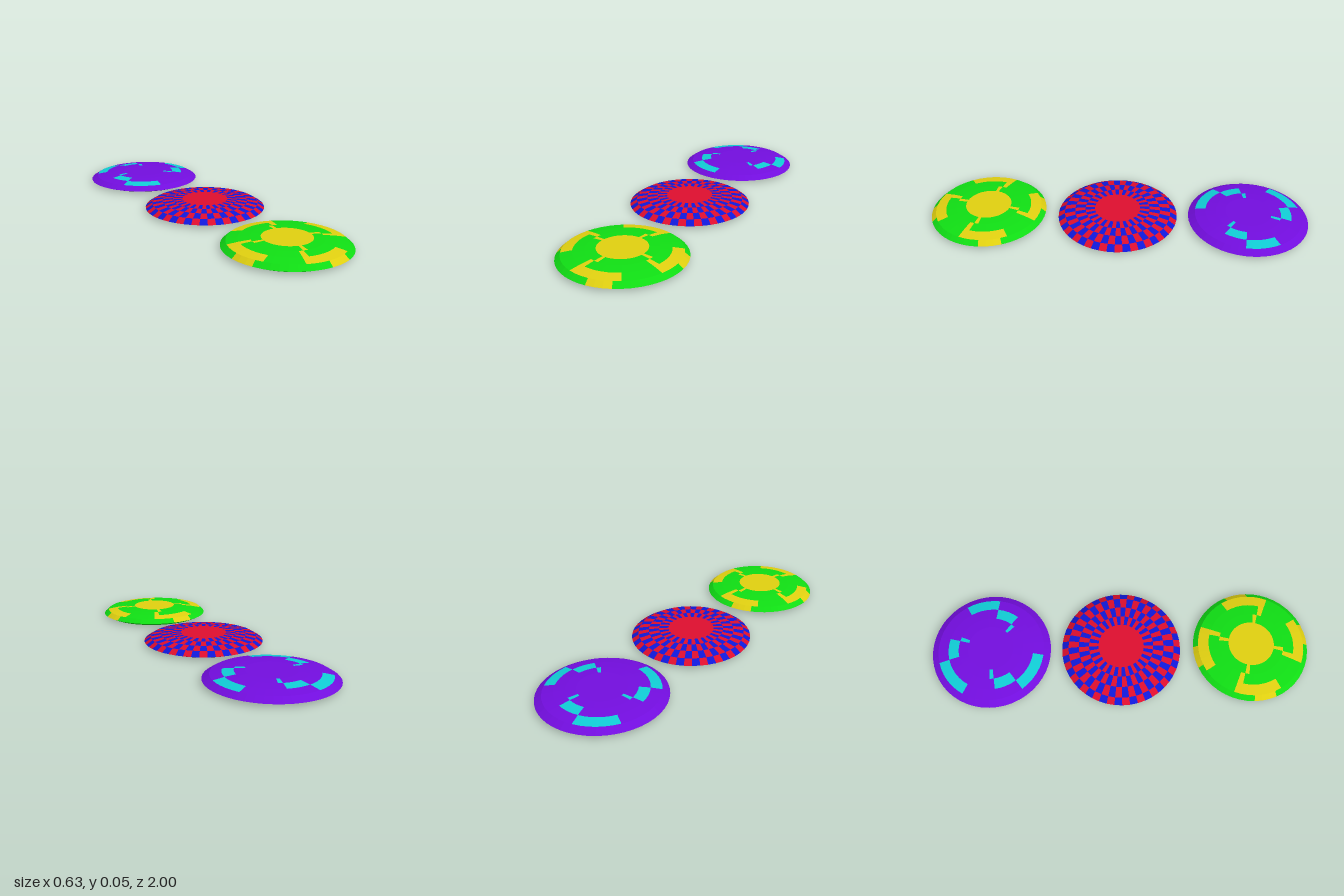
import * as THREE from 'three';

const SEGMENTS = 48;
const STEP = 360 / SEGMENTS; // 7.5 degrees per panel

// Half section [radius, height]: crown centre, over the top, round the rim, under to the floor
const section = (rim, lip) => [
  [0, 0.055], [0.12, 0.055], [0.17, 0.052], [0.225, 0.046], [0.28, 0.036],
  [rim, 0.014], [0.275, 0], [lip, 0], [lip - 0.006, 0.035], [0, 0.035],
];
// Bands between section points
const CENTRE = 0, INNER = 1, MIDDLE = 2, OUTER = 3, RIM = 4, UNDER_RIM = 5, LIP = 6;

// Point on the disc; the angle runs clockwise from the back, seen from above
function pointAt([r, y], seg) {
  const a = THREE.MathUtils.degToRad(seg * STEP);
  return [r * Math.sin(a), y, -r * Math.cos(a)];
}

// True if the panel centre lies in one of the [band, from, to] arcs (degrees)
function inArcs(arcs, band, seg) {
  const mid = (seg + 0.5) * STEP;
  return arcs.some(([b, from, to]) => b === band &&
    [mid - 360, mid, mid + 360].some((m) => m > from && m < to));
}

// A disc made of flat panels, sorted into a base colour and a pattern colour
function makeDisc(name, z, profile, baseColor, patternColor, isPattern) {
  const panels = [[], []];
  for (let band = 0; band < profile.length - 1; band++) {
    const p = profile[band], q = profile[band + 1];
    for (let s = 0; s < SEGMENTS; s++) {
      const out = panels[isPattern(band, s) ? 1 : 0];
      const a = pointAt(p, s), b = pointAt(p, s + 1);
      const c = pointAt(q, s + 1), d = pointAt(q, s);
      if (p[0] > 0) out.push(...a, ...b, ...c);
      if (q[0] > 0) out.push(...a, ...c, ...d);
    }
  }
  const disc = new THREE.Group();
  disc.name = name;
  disc.position.z = z;
  [baseColor, patternColor].forEach((color, i) => {
    const geometry = new THREE.BufferGeometry();
    geometry.setAttribute('position', new THREE.Float32BufferAttribute(panels[i], 3));
    geometry.computeVertexNormals();
    const mesh = new THREE.Mesh(geometry, new THREE.MeshStandardMaterial({ color, flatShading: true }));
    mesh.name = name + (i ? 'Pattern' : 'Body');
    disc.add(mesh);
  });
  return disc;
}

export function createModel() {
  const model = new THREE.Group();
  model.name = 'flyingDiscs';

  // Green disc: yellow centre and four stepped arms
  const arms = [];
  for (let t = 0; t < 360; t += 90) {
    arms.push([RIM, t - 22.5, t], [OUTER, t - 30, t + 22.5],
      [MIDDLE, t + 15, t + 22.5], [INNER, t + 7.5, t + 15]);
  }
  model.add(makeDisc('greenDisc', 0.695, section(0.305, 0.27), 0x10dd14, 0xdfcf10,
    (band, s) => band === CENTRE || inArcs(arms, band, s)));

  // Red disc: blue checks staggered from ring to ring, carried under the rim
  model.add(makeDisc('redDisc', 0.005, section(0.315, 0.25), 0xdd0e2e, 0x1018d8, (band, s) => {
    if (band === CENTRE || band > LIP) return false;
    return (s + Math.min(band, RIM)) % 2 === 0;
  }));

  // Purple disc: three stepped cyan arcs
  const arcs = [];
  for (const [from, to] of [[-60, -15], [60, 97.5], [187.5, 232.5]]) {
    arcs.push([OUTER, from, to], [MIDDLE, to, to + 30], [INNER, to + 30, to + 37.5]);
  }
  model.add(makeDisc('purpleDisc', -0.685, section(0.315, 0.26), 0x720ddd, 0x10ccd4,
    (band, s) => inArcs(arcs, band, s)));

  return model;
}
